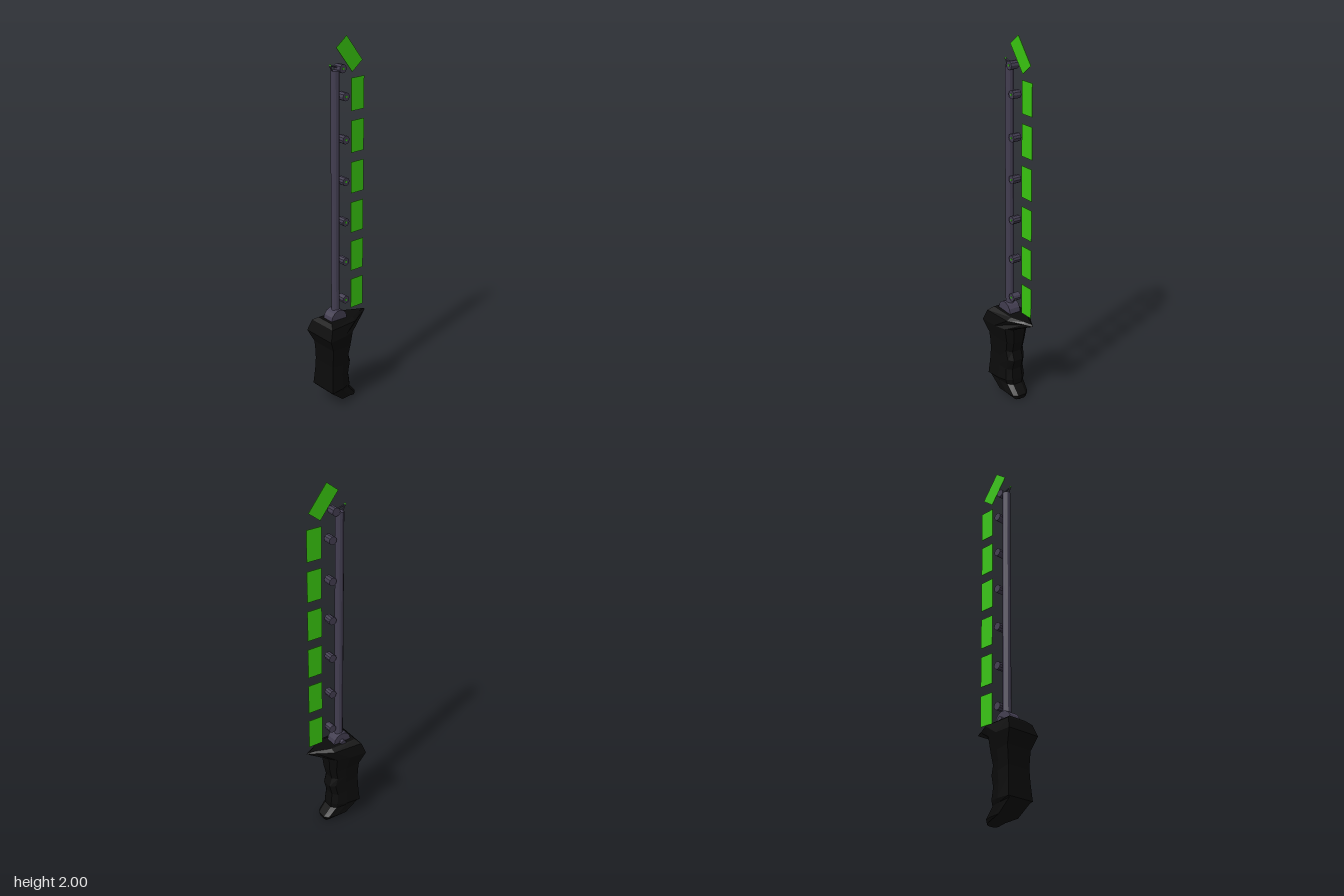
import * as THREE from 'three';

const metal = new THREE.MeshStandardMaterial({ color: 0x423d50, flatShading: true });
const black = new THREE.MeshStandardMaterial({ color: 0x0b0b0b, flatShading: true });
const green = new THREE.MeshStandardMaterial({ color: 0x38c410 });

function add(parent, name, geometry, material, x = 0, y = 0, z = 0) {
  const mesh = new THREE.Mesh(geometry, material);
  mesh.name = name;
  mesh.position.set(x, y, z);
  parent.add(mesh);
  return mesh;
}

// Cylinder lying along x
const axle = (r, length, sides) => new THREE.CylinderGeometry(r, r, length, sides).rotateZ(Math.PI / 2);

// Grip: [half width, front z, front y, back z, back y, pinched to a spur at the back]
const gripRings = [
  [0.045, -0.03, 0.02, -0.06, 0.004, 0],
  [0.065, 0.055, 0.035, -0.066, 0.028, 0],
  [0.072, 0.132, 0.098, -0.022, 0.08, 0],
  [0.083, 0.137, 0.105, -0.022, 0.11, 0],
  [0.075, 0.13, 0.2, -0.014, 0.17, 0],
  [0.072, 0.128, 0.26, -0.03, 0.23, 0],
  [0.075, 0.128, 0.31, -0.015, 0.28, 0],
  [0.08, 0.13, 0.36, -0.03, 0.34, 0],
  [0.1, 0.162, 0.43, -0.04, 0.43, 0],
  [0.085, 0.14, 0.49, -0.16, 0.488, 1],
  [0.055, 0.12, 0.51, -0.15, 0.497, 1],
];

function gripGeometry() {
  const positions = [], index = [], n = 8;
  for (const [w, zf, yf, zb, yb, pinch] of gripRings) {
    const half = pinch
      ? [[1, 0], [0.88, 0.56], [0.28, 0.85], [0.01, 1]]
      : [[1, 0], [0.92, 0.5], [0.74, 0.85], [0.38, 1]];
    const ring = [...half, ...half.map(([x, t]) => [-x, t]).reverse()];
    for (const [x, t] of ring) positions.push(x * w, yf + (yb - yf) * t, zf + (zb - zf) * t);
  }
  for (let r = 0; r < gripRings.length - 1; r++) {
    for (let i = 0; i < n; i++) {
      const a = r * n + i, b = r * n + (i + 1) % n;
      index.push(a, b, b + n, a, b + n, a + n);
    }
  }
  // End caps, in strips across the width
  const top = (gripRings.length - 1) * n;
  for (let i = 0; i < 3; i++) {
    const a = i, b = i + 1, c = n - 2 - i, d = n - 1 - i;
    index.push(a, c, b, a, d, c);
    index.push(top + a, top + b, top + c, top + a, top + c, top + d);
  }
  const geometry = new THREE.BufferGeometry();
  geometry.setAttribute('position', new THREE.Float32BufferAttribute(positions, 3));
  geometry.setIndex(index);
  geometry.computeVertexNormals();
  return geometry;
}

export function createModel() {
  const model = new THREE.Group();
  model.name = 'segmentedSword';

  add(model, 'grip', gripGeometry(), black);

  // Rounded mount with a side knob
  add(model, 'mount', axle(0.052, 0.066, 14), metal, 0.001, 0.508, 0.051);
  add(model, 'mountKnob', axle(0.015, 0.022, 10), metal, -0.041, 0.51, 0.047);

  // Rail that carries the rollers
  const rail = new THREE.CylinderGeometry(0.0225, 0.0225, 1.32, 12);
  add(model, 'rail', rail, metal, 0, 1.18, 0.048);

  // Rollers with a small glowing hub on the left end
  function roller(y, z) {
    const group = new THREE.Group();
    group.name = 'roller';
    group.position.set(0.003, y, z);
    add(group, 'rollerBody', axle(0.022, 0.046, 10), metal);
    add(group, 'rollerHub', axle(0.006, 0.004, 8), green, 0.023);
    model.add(group);
  }

  // Thin blade segments behind the rollers
  const panel = new THREE.BoxGeometry(0.003, 0.168, 0.084);
  for (let i = 0; i < 6; i++) {
    roller(0.603 + i * 0.2205, -0.003);
    add(model, 'bladeSegment', panel, green, 0, 0.613 + i * 0.218, -0.1);
  }
  roller(1.848, 0.017);
  const tip = add(model, 'bladeTip', panel, green, 0, 1.909, -0.045);
  tip.rotation.x = 0.66;

  // Wire sight on top of the rail
  const points = [[1.84, 0.066], [1.868, 0.08], [1.85, 0.02]].map(([y, z]) => new THREE.Vector3(0, y, z));
  const wire = new THREE.CurvePath();
  wire.add(new THREE.LineCurve3(points[0], points[1]));
  wire.add(new THREE.LineCurve3(points[1], points[2]));
  add(model, 'sightWire', new THREE.TubeGeometry(wire, 12, 0.004, 6), metal);
  add(model, 'sightBead', new THREE.SphereGeometry(0.006, 10, 8), green, 0, 1.869, 0.079);

  return model;
}
